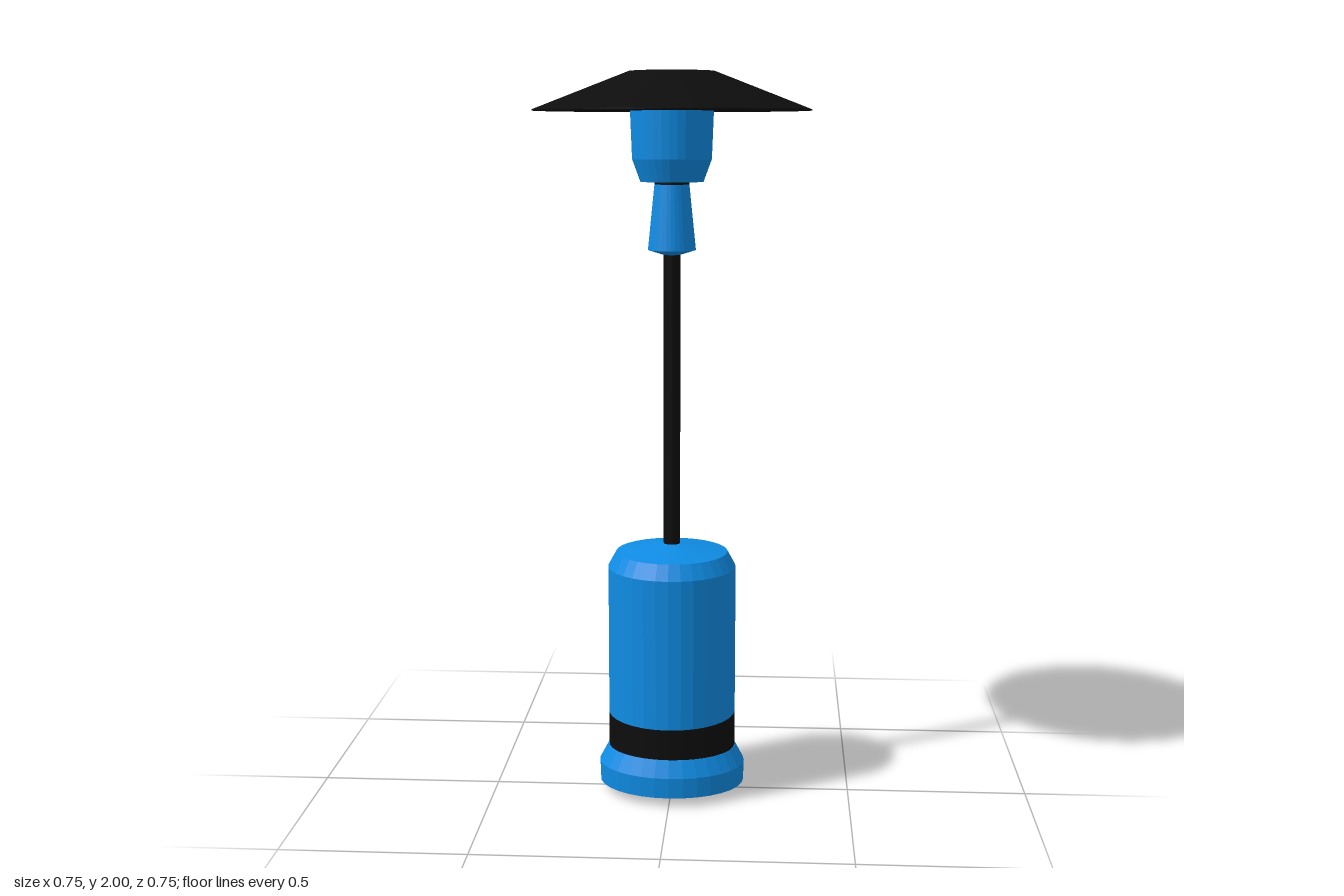
import * as THREE from 'three';

const blue = new THREE.MeshStandardMaterial({ color: 0x0f8ce4, flatShading: true });
const black = new THREE.MeshStandardMaterial({ color: 0x0d0d0d, flatShading: true });

// Turned part from [radius, height] pairs, listed bottom to top
function turned(name, material, profile, sides = 32) {
  const points = profile.map(([r, y]) => new THREE.Vector2(r, y));
  const mesh = new THREE.Mesh(new THREE.LatheGeometry(points, sides), material);
  mesh.name = name;
  return mesh;
}

export function createModel() {
  const model = new THREE.Group();
  model.name = 'patioHeater';

  // Oval foot and the dark band above it, narrower front to back
  const foot = turned('foot', blue, [[0, 0.005], [0.1, 0.005], [0.203, 0.03], [0.205, 0.085], [0.18, 0.13], [0, 0.13]]);
  const band = turned('footBand', black, [[0, 0.13], [0.178, 0.13], [0.178, 0.23], [0, 0.23]]);
  for (const part of [foot, band]) part.scale.z = 0.785;
  foot.scale.y = 1.04;
  foot.position.y = -0.0052;

  // Gas cylinder housing with a bevelled, slightly domed top
  const housing = turned('tankHousing', blue,
    [[0, 0.23], [0.178, 0.23], [0.178, 0.65], [0.155, 0.692], [0.023, 0.715], [0, 0.715]]);

  const pole = turned('pole', black, [[0, 0.70], [0.023, 0.70], [0.023, 1.53], [0, 1.53]], 16);

  // Burner neck, seam ring and burner head
  const neck = turned('burnerNeck', blue, [[0, 1.515], [0.023, 1.515], [0.065, 1.528], [0.047, 1.703], [0, 1.703]]);
  const seam = turned('neckSeam', black, [[0, 1.703], [0.047, 1.703], [0.047, 1.71], [0, 1.71]]);
  const burner = turned('burnerHead', blue, [[0, 1.71], [0.085, 1.71], [0.107, 1.77], [0.112, 1.897], [0, 1.897]]);

  // Wide conical reflector with a flat underside
  const reflector = turned('reflector', black, [[0, 1.897], [0.373, 1.897], [0.373, 1.9], [0.115, 2], [0, 2]]);

  model.add(foot, band, housing, pole, neck, seam, burner, reflector);
  return model;
}
